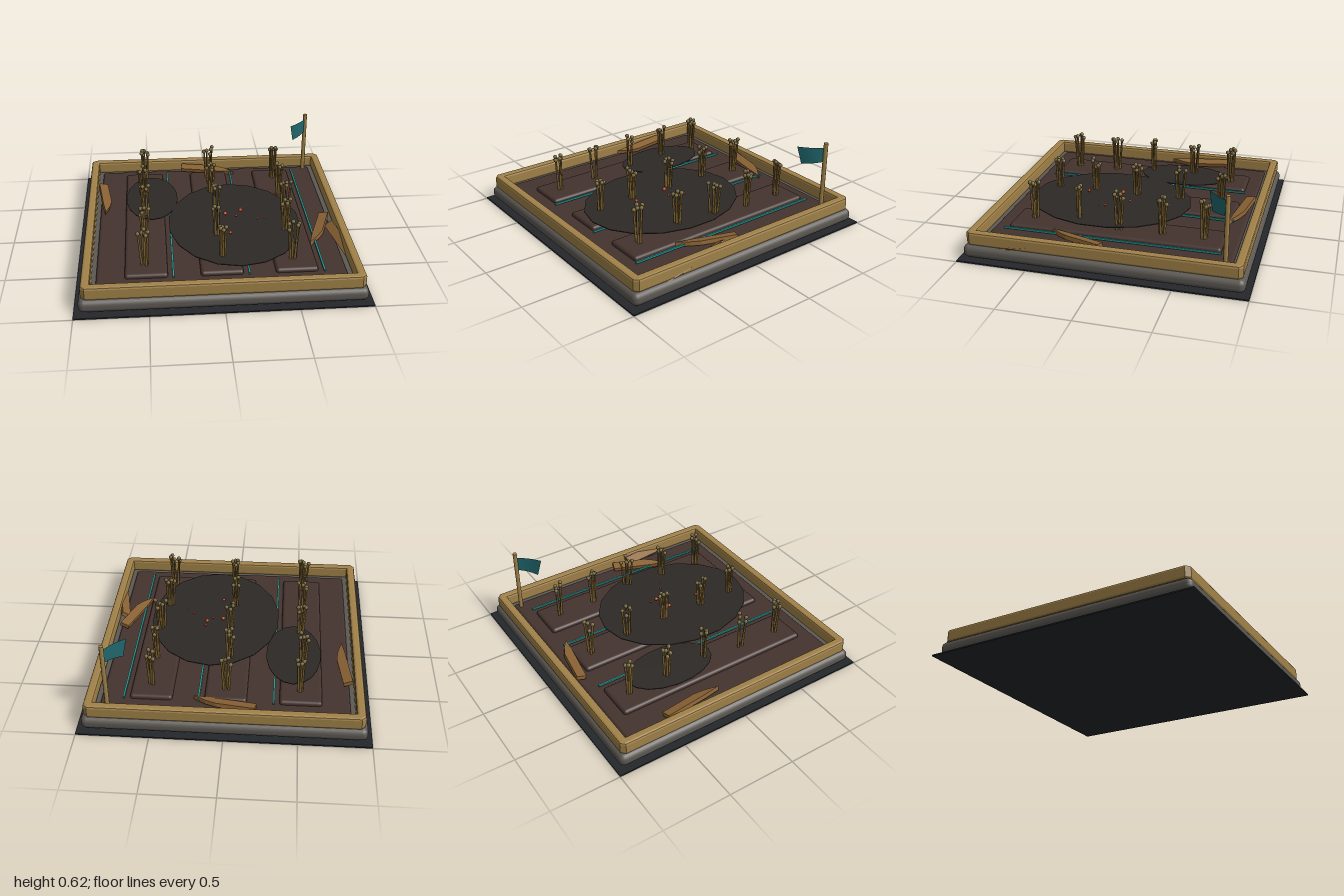
import * as THREE from 'three';
import { RoundedBoxGeometry } from 'three/addons/geometries/RoundedBoxGeometry.js';

const mat = (color, extra = {}) => new THREE.MeshStandardMaterial({ color, ...extra });
const M = {
  ground: mat(0x24272b), stone: mat(0x5c5853), wood: mat(0xa08148), soil: mat(0x44332e),
  plank: mat(0x8a6234, { flatShading: true }), scorch: mat(0x2d2926), line: mat(0x2a9a96),
  stalk: mat(0x7a6030), seed: mat(0x75663a), ember: mat(0xd0502a),
  flag: mat(0x1f666c, { side: THREE.DoubleSide }),
};

// Small seeded generator returning values in -1..1
let seed = 11;
const rand = () => {
  seed = (seed * 16807) % 2147483647;
  return (seed / 2147483647) * 2 - 1;
};

export function createModel() {
  const model = new THREE.Group();
  const add = (name, geometry, material, x = 0, y = 0, z = 0, parent = model) => {
    const mesh = new THREE.Mesh(geometry, material);
    mesh.name = name;
    mesh.position.set(x, y, z);
    parent.add(mesh);
    return mesh;
  };
  const slab = (name, material, w, d, y0, y1, r, x = 0, z = 0) =>
    add(name, new RoundedBoxGeometry(w, y1 - y0, d, 3, r), material, x, (y0 + y1) / 2, z);

  // Ground plate, stone base and soil
  add('groundPlate', new THREE.BoxGeometry(2, 0.01, 2), M.ground, 0, 0.005, 0);
  slab('stoneBase', M.stone, 1.935, 1.935, 0.018, 0.112, 0.04);
  slab('soil', M.soil, 1.71, 1.71, 0.06, 0.132, 0.02);

  // Wooden rim: one bevelled square ring with clipped corners
  const bevel = 0.016, o = 0.948 - bevel, c = 0.02, i = 0.885 + bevel;
  const rim = new THREE.Shape([
    [o - c, -o], [o, c - o], [o, o - c], [o - c, o],
    [c - o, o], [-o, o - c], [-o, c - o], [c - o, -o],
  ].map(p => new THREE.Vector2(...p)));
  rim.holes.push(new THREE.Path([[-i, -i], [-i, i], [i, i], [i, -i]].map(p => new THREE.Vector2(...p))));
  const rimGeometry = new THREE.ExtrudeGeometry(rim, {
    depth: 0.095 - 2 * bevel, bevelSize: bevel, bevelThickness: bevel, bevelSegments: 2,
  });
  rimGeometry.rotateX(-Math.PI / 2);
  add('woodenRim', rimGeometry, M.wood, 0, 0.11 + bevel, 0);

  // Planting beds with a watering line beside each
  for (const x of [-0.515, 0, 0.512]) {
    slab('plantingBed', M.soil, 0.292, 1.505, 0.1, 0.16, 0.022, x, -0.005);
    add('wateringLine', new THREE.BoxGeometry(0.013, 0.013, 1.535), M.line, x + 0.184, 0.15, 0);
  }

  // Scorched patches
  const patch = (x, y, z, rx, rz, sides) => {
    const disc = add('scorchedPatch', new THREE.CylinderGeometry(1, 1, 0.006, sides), M.scorch, x, y, z);
    disc.scale.set(rx, 1, rz);
  };
  patch(0.135, 0.196, 0.15, 0.482, 0.592, 18);
  patch(-0.46, 0.192, -0.27, 0.197, 0.335, 18);

  // Bundles of dry stalks, leaning outwards, each with a seed head
  const up = new THREE.Vector3(0, 1, 0);
  const head = new THREE.SphereGeometry(0.0155, 8, 6);
  const stalks = (x, z) => {
    const bundle = new THREE.Group();
    bundle.name = 'stalkBundle';
    bundle.position.set(x, 0, z);
    model.add(bundle);
    for (let k = 0; k < 5; k++) {
      const a = k * 1.26 + rand() * 0.5, r = 0.028 + 0.016 * rand();
      const foot = new THREE.Vector3(Math.cos(a) * r * 0.5, 0.14, Math.sin(a) * r * 0.5);
      const tip = new THREE.Vector3(Math.cos(a) * r, 0.41 + 0.028 * rand(), Math.sin(a) * r);
      const dir = tip.clone().sub(foot);
      const stem = add('stalk', new THREE.CylinderGeometry(0.007, 0.01, dir.length(), 6), M.stalk,
        ...foot.clone().add(tip).multiplyScalar(0.5).toArray(), bundle);
      stem.quaternion.setFromUnitVectors(up, dir.normalize());
      add('seedHead', head, M.seed, ...tip.toArray(), bundle);
    }
  };
  const columns = [
    [[-0.51, -0.63], [-0.525, -0.335], [-0.505, -0.01], [-0.525, 0.3], [-0.52, 0.61]],
    [[0, -0.635], [0, -0.33], [0.005, -0.005], [0, 0.315], [0.01, 0.6]],
    [[0.52, -0.615], [0.52, -0.325], [0.53, -0.015], [0.5, 0.28], [0.5, 0.61]],
  ];
  columns.flat().forEach(([x, z]) => stalks(x, z));

  // Glowing embers
  const embers = [
    [0.075, 0.232, 0.08, 0.015], [0.09, 0.222, 0.34, 0.012], [0.155, 0.222, 0.1, 0.009],
    [0.193, 0.235, 0.04, 0.014], [0.2, 0.225, -0.005, 0.009], [0.305, 0.222, 0.15, 0.009],
    [0.355, 0.238, 0.18, 0.007],
  ];
  for (const [x, y, z, r] of embers) add('ember', new THREE.SphereGeometry(r, 8, 6), M.ember, x, y, z);

  // Broken planks: blunt at one end, splintered to a point at the other
  const plank = (from, to, roll) => {
    const a = new THREE.Vector3(...from), d = new THREE.Vector3(...to).sub(a);
    const L = d.length();
    const outline = [[0, -0.034], [L * 0.62, -0.034], [L * 0.8, -0.012], [L, 0.03], [L * 0.72, 0.036], [0, 0.034]];
    const shape = new THREE.Shape(outline.map(p => new THREE.Vector2(...p)));
    const g = new THREE.ExtrudeGeometry(shape, { depth: 0.03, bevelEnabled: false });
    g.translate(0, 0, -0.015).rotateX(Math.PI / 2 + roll);
    const mesh = add('brokenPlank', g, M.plank, ...from);
    mesh.rotation.order = 'YZX';
    mesh.rotation.y = Math.atan2(-d.z, d.x);
    mesh.rotation.z = Math.asin(d.y / L);
  };
  plank([-0.21, 0.165, -0.835], [0.22, 0.155, -0.765], 0.2);
  plank([-0.845, 0.17, -0.55], [-0.785, 0.16, -0.105], -0.25);
  plank([0.825, 0.165, 0.03], [0.685, 0.155, 0.43], 0.2);
  plank([0.838, 0.16, 0.17], [0.96, 0.12, 0.74], 0.6);

  // Flag pole and slightly billowing flag
  add('flagPole', new THREE.CylinderGeometry(0.016, 0.016, 0.51, 8), M.wood, 0.805, 0.365, -0.812);
  const flag = new THREE.PlaneGeometry(1, 1, 6, 1);
  const p = flag.attributes.position;
  for (let k = 0; k < p.count; k++) {
    const t = p.getX(k) + 0.5, low = p.getY(k) < 0;
    const reach = t * (low ? 0.115 : 0.14), wave = Math.sin(t * Math.PI) * 0.008;
    p.setXYZ(k, 0.805 - reach + wave, low ? 0.475 - 0.025 * t : 0.582, -0.812 + reach * 1.03 + wave);
  }
  flag.computeVertexNormals();
  add('flag', flag, M.flag);

  return model;
}
